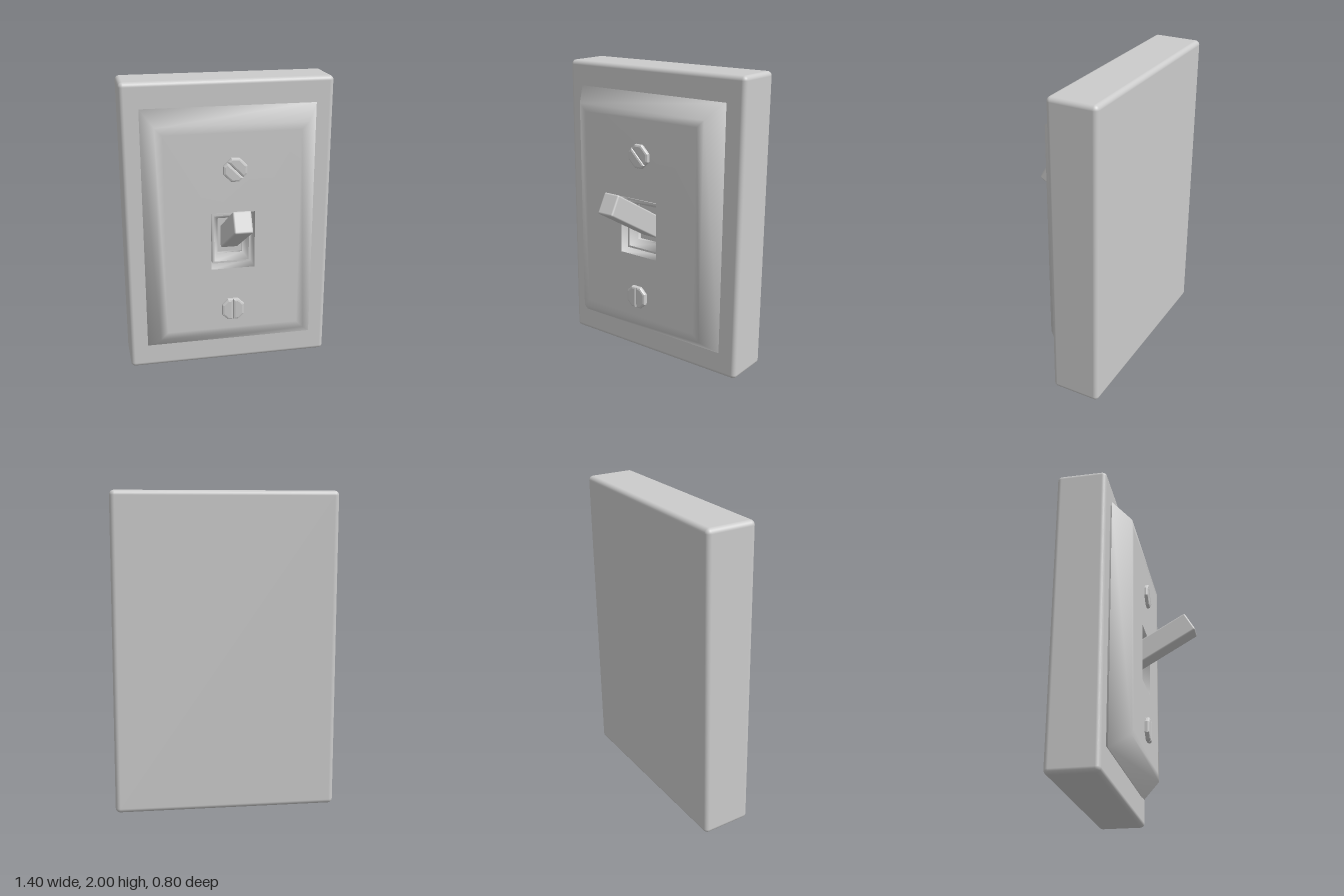
import * as THREE from 'three';
import { RoundedBoxGeometry } from 'three/addons/geometries/RoundedBoxGeometry.js';

const grey = new THREE.MeshStandardMaterial({ color: 0xcccccc, side: THREE.DoubleSide });
const greyFlat = new THREE.MeshStandardMaterial({ color: 0xcccccc, side: THREE.DoubleSide, flatShading: true });

function add(parent, name, geometry, material = grey) {
  const mesh = new THREE.Mesh(geometry, material);
  mesh.name = name;
  parent.add(mesh);
  return mesh;
}

// Skin over rectangular rings [centreY, halfWidth, halfHeight, z], listed from outside to inside
function rectLoft(rings) {
  const pos = [], index = [];
  for (const [cy, w, h, z] of rings) {
    pos.push(-w, cy - h, z, w, cy - h, z, w, cy + h, z, -w, cy + h, z);
  }
  for (let r = 0; r < rings.length - 1; r++) {
    for (let i = 0; i < 4; i++) {
      const a = r * 4 + i, b = r * 4 + (i + 1) % 4;
      index.push(a, b, b + 4, a, b + 4, a + 4);
    }
  }
  const g = new THREE.BufferGeometry();
  g.setAttribute('position', new THREE.Float32BufferAttribute(pos, 3));
  g.setIndex(index);
  g.computeVertexNormals();
  return g;
}

// Octagonal slotted screw: a base disc and two bevelled half heads either side of the slot
function makeScrew(name, x, y, angle, top) {
  const screw = new THREE.Group();
  screw.name = name;
  const R = 0.081, gap = 0.014, bevel = 0.014;
  const base = add(screw, 'screwBase', new THREE.CylinderGeometry(R, R, 0.03, 8), greyFlat);
  base.rotation.set(Math.PI / 2, Math.PI / 8, 0);
  base.position.z = 0.052;
  const c = R * Math.cos(Math.PI / 8) - bevel, s = R * Math.sin(Math.PI / 8);
  const half = new THREE.Shape([
    [gap, -c], [s, -c], [c, -s], [c, s], [s, c], [gap, c],
  ].map(([px, py]) => new THREE.Vector2(px, py)));
  const headGeo = new THREE.ExtrudeGeometry(half, {
    depth: 0.012, bevelEnabled: true, bevelThickness: 0.012, bevelSize: bevel, bevelOffset: 0, bevelSegments: 2,
  });
  for (const turn of [0, Math.PI]) {
    const head = add(screw, 'screwHeadHalf', headGeo, greyFlat);
    head.rotation.z = turn + angle;
    head.position.z = top - 0.024;
  }
  screw.position.set(x, y, 0);
  return screw;
}

export function createModel() {
  const model = new THREE.Group();
  model.name = 'wallSwitch';

  // Wall box
  add(model, 'wallBox', new RoundedBoxGeometry(1.4, 2, 0.325, 4, 0.03)).position.set(0, 1, -0.2375);

  // Cover plate: back rim, sloping edge with flat face, and the walls of the opening
  const plate = new THREE.Group();
  plate.name = 'coverPlate';
  model.add(plate);
  add(plate, 'plateRim', rectLoft([
    [1.0025, 0.565, 0.818, -0.08], [1.0025, 0.565, 0.818, -0.064], [1.0025, 0.58, 0.8325, -0.06],
  ]));
  add(plate, 'plateFace', rectLoft([
    [1.0025, 0.58, 0.8325, -0.06], [1.0025, 0.5, 0.735, 0.058],
    [1.0025, 0.45, 0.685, 0.06], [0.957, 0.147, 0.197, 0.06],
  ]));
  add(plate, 'openingWall', rectLoft([[0.957, 0.147, 0.197, 0.06], [0.957, 0.147, 0.197, -0.076]]));

  // Raised collar inside the opening, sloping in towards the lever
  const collar = [
    [0.957, 0.13, 0.175, -0.076], [0.957, 0.13, 0.175, 0.01], [0.957, 0.118, 0.162, 0.01],
    [0.957, 0.085, 0.125, -0.05], [0.957, 0.085, 0.125, -0.076],
  ];
  for (let i = 0; i < collar.length - 1; i++) {
    add(model, 'leverCollar', rectLoft(collar.slice(i, i + 2)));
  }

  // Lever, tilted up
  const lever = add(model, 'lever', new RoundedBoxGeometry(0.12, 0.143, 0.54, 2, 0.012));
  lever.rotation.x = -Math.PI / 6;
  lever.position.set(0, 1.06, 0.131);

  // Screws above and below the lever
  model.add(makeScrew('upperScrew', 0.012, 1.447, Math.PI / 4, 0.085));
  model.add(makeScrew('lowerScrew', -0.003, 0.465, 0, 0.09));

  return model;
}
